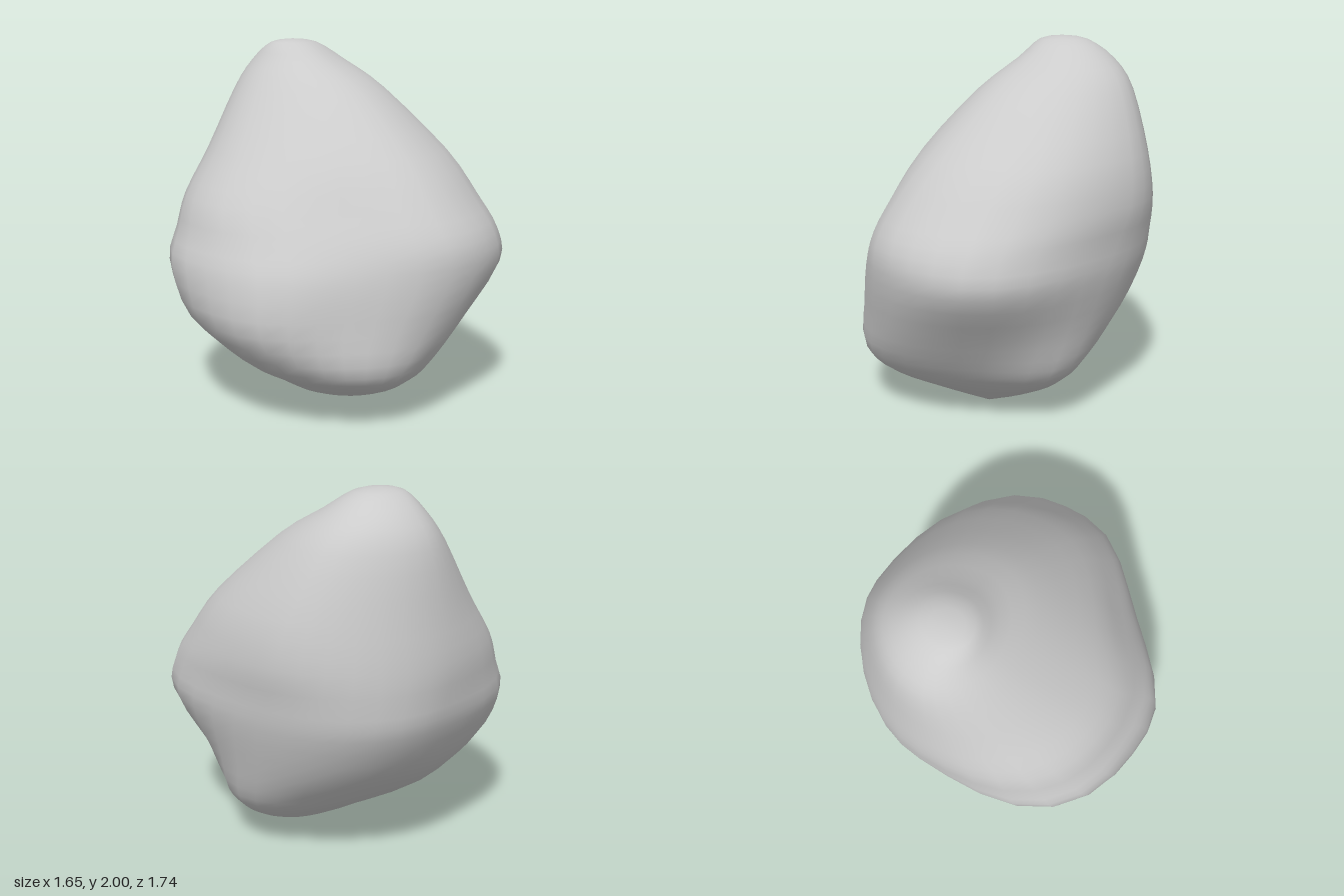
import * as THREE from 'three';
import { mergeVertices } from 'three/addons/utils/BufferGeometryUtils.js';

// Level sections: y, xMin, xMax, zMin, zMax, ridge x, ridge z, then the fullness
// of the corners (+x+z, -x+z, -x-z, +x-z); negative values flatten a corner.
const SECTIONS = [
  [0.00, 0.14, 0.14, 0.17, 0.17, 0.14, 0.17, -0.10, 0, 0, 0],
  [0.10, -0.27, 0.40, -0.08, 0.39, -0.02, 0.13, -0.10, 0, 0, 0],
  [0.20, -0.46, 0.58, -0.27, 0.58, -0.14, 0.12, -0.11, 0, -0.03, 0],
  [0.32, -0.65, 0.68, -0.48, 0.70, -0.15, 0.11, -0.10, -0.03, -0.02, 0],
  [0.54, -0.82, 0.74, -0.70, 0.79, 0.00, 0.05, -0.02, -0.12, 0.07, 0.03],
  [0.80, -0.81, 0.80, -0.83, 0.87, 0.13, 0.00, 0.09, -0.13, 0.13, 0.03],
  [0.98, -0.74, 0.81, -0.855, 0.86, 0.12, -0.10, 0.09, -0.13, 0.09, 0.02],
  [1.16, -0.66, 0.82, -0.86, 0.74, 0.10, -0.19, 0.07, -0.13, 0.05, -0.01],
  [1.40, -0.47, 0.77, -0.825, 0.53, 0.13, -0.25, 0.05, -0.06, 0.02, -0.03],
  [1.72, -0.21, 0.61, -0.765, 0.15, 0.16, -0.36, 0, 0, 0, -0.03],
  [1.88, -0.07, 0.46, -0.67, -0.13, 0.16, -0.41, 0, 0, 0, 0],
  [1.98, 0.02, 0.30, -0.54, -0.29, 0.15, -0.42, 0, 0, 0, 0],
  [2.00, 0.15, 0.15, -0.42, -0.42, 0.15, -0.42, 0, 0, 0, 0],
];
const SIDES = 32;
const STEPS = 3;

// Smooth blend between neighbouring sections
function sectionAt(s) {
  const last = SECTIONS.length - 1;
  const i = Math.min(Math.floor(s), last - 1);
  const t = s - i;
  const [a, b, c, d] = [i - 1, i, i + 1, i + 2].map(
    (k) => SECTIONS[Math.max(0, Math.min(last, k))]);
  return b.map((v, k) => v + 0.5 * t * (c[k] - a[k]
    + t * (2 * a[k] - 5 * v + 4 * c[k] - d[k]
    + t * (3 * (v - c[k]) + d[k] - a[k]))));
}

function rockGeometry() {
  const positions = [];
  const index = [];
  const rows = (SECTIONS.length - 1) * STEPS;
  for (let r = 0; r <= rows; r++) {
    const [y, x0, x1, z0, z1, cx, cz, ...full] = sectionAt(r / STEPS);
    for (let j = 0; j < SIDES; j++) {
      // Four elliptic quarters meeting at the ridge point
      const angle = (j / SIDES) * Math.PI * 2;
      const c = Math.cos(angle);
      const s = Math.sin(angle);
      const k = 1 + full[Math.floor((j * 4) / SIDES)] * Math.sin(2 * angle) ** 2;
      positions.push(
        cx + (c > 0 ? x1 - cx : cx - x0) * c * k,
        Math.max(0, Math.min(2, y)),
        cz + (s > 0 ? z1 - cz : cz - z0) * s * k);
      if (r < rows) {
        const a = r * SIDES + j;
        const b = r * SIDES + ((j + 1) % SIDES);
        index.push(a, a + SIDES, b, b, a + SIDES, b + SIDES);
      }
    }
  }
  const geometry = new THREE.BufferGeometry();
  geometry.setAttribute('position', new THREE.Float32BufferAttribute(positions, 3));
  geometry.setIndex(index);
  const merged = mergeVertices(geometry, 1e-4);
  merged.computeVertexNormals();
  return merged;
}

export function createModel() {
  const group = new THREE.Group();
  group.name = 'boulder';
  const rock = new THREE.Mesh(rockGeometry(), new THREE.MeshStandardMaterial({ color: 0xcccccc }));
  rock.name = 'rock';
  group.add(rock);
  return group;
}
